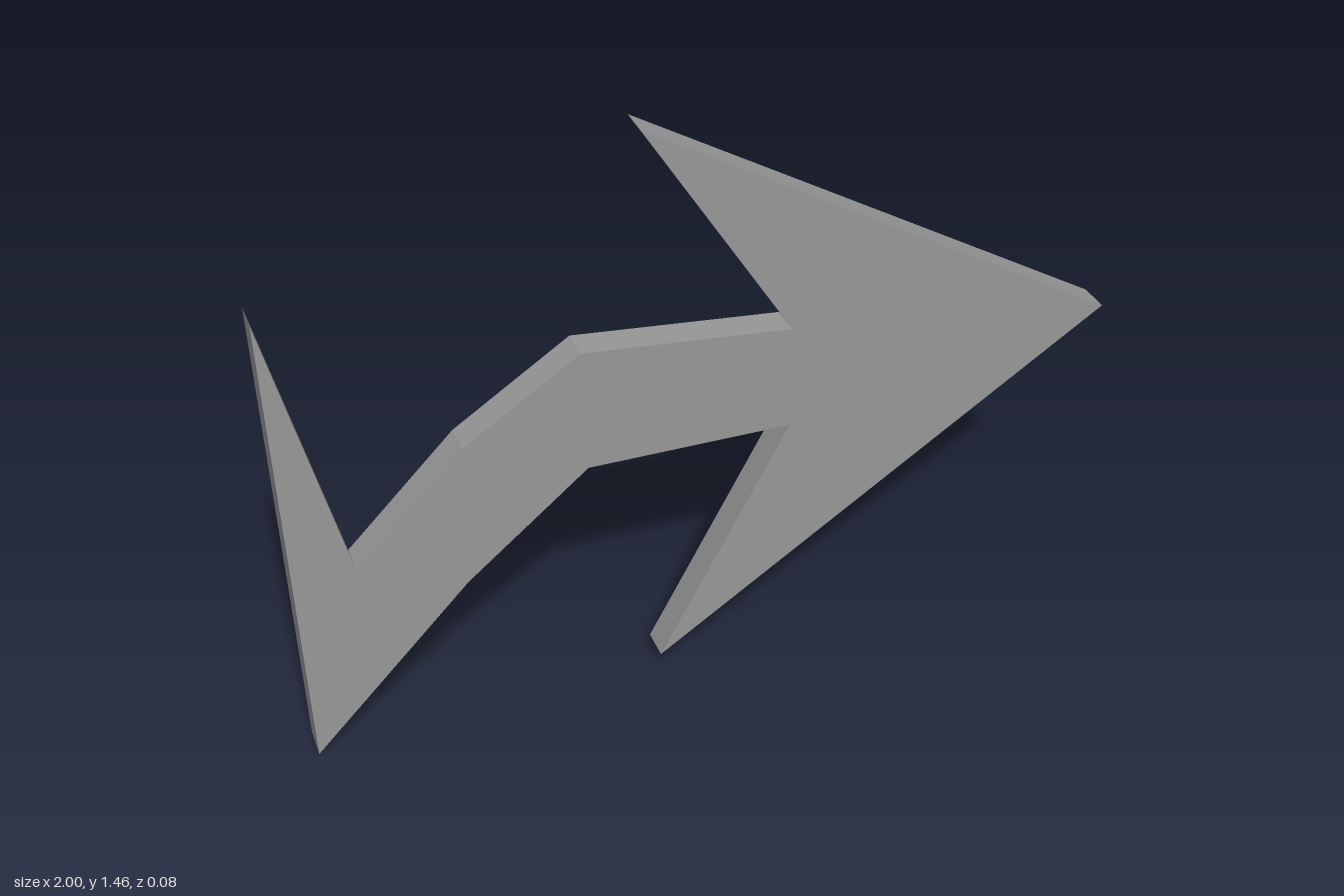
import * as THREE from 'three';

const THICKNESS = 0.078;

// Arrow silhouette, clockwise from the top of the tail
const OUTLINE = [
  [-1, 1.178], [-0.847, 0.506],                   // tail fin and notch
  [-0.588, 0.768], [-0.31, 0.95], [0.19, 0.898],  // upper edge of the bent shaft
  [-0.163, 1.461], [1, 0.779], [-0.137, 0.037],   // arrowhead barbs and tip
  [0.19, 0.635], [-0.302, 0.642], [-0.597, 0.4],  // lower edge of the shaft
  [-0.983, 0],                                    // tail foot
];

export function createModel() {
  const group = new THREE.Group();
  group.name = 'bentArrow';

  // Flat plate with sharp edges, centred on z = 0
  const shape = new THREE.Shape(OUTLINE.map(([x, y]) => new THREE.Vector2(x, y)));
  const geometry = new THREE.ExtrudeGeometry(shape, { depth: THICKNESS, bevelEnabled: false });
  geometry.translate(0, 0, -THICKNESS / 2);

  const material = new THREE.MeshStandardMaterial({ color: 0x989898, flatShading: true });
  const arrow = new THREE.Mesh(geometry, material);
  arrow.name = 'arrowPlate';
  group.add(arrow);
  return group;
}
